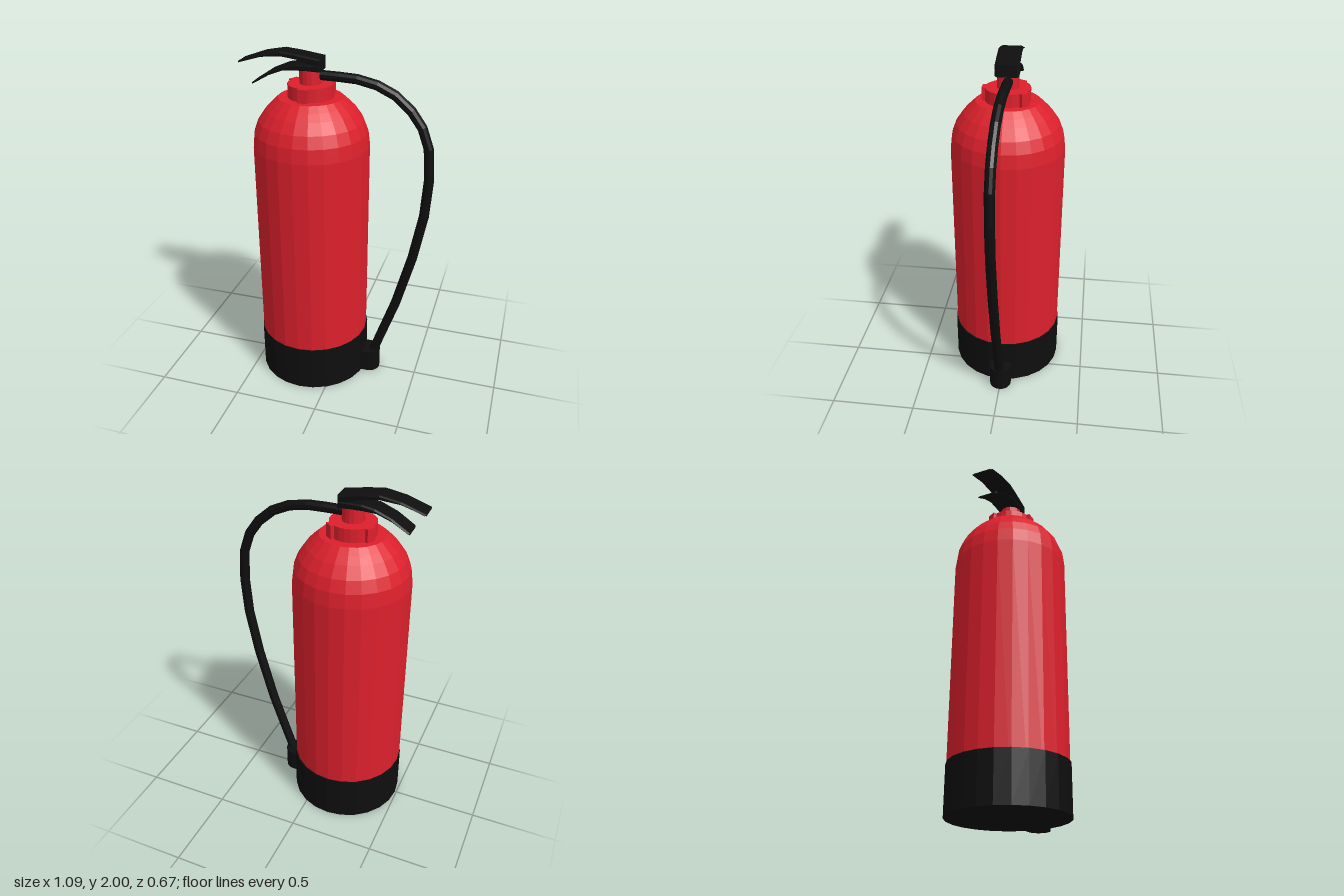
import * as THREE from 'three';

const RED = new THREE.MeshStandardMaterial({ color: 0xdc202c, flatShading: true });
const BLACK = new THREE.MeshStandardMaterial({ color: 0x0e0e0e, flatShading: true });
const AXIS_X = -0.16; // centre line of the tank

const v2 = (pairs) => pairs.map(([x, y]) => new THREE.Vector2(x, y));

export function createModel() {
  const model = new THREE.Group();
  model.name = 'fireExtinguisher';

  const add = (name, geometry, material, x = 0, y = 0, z = 0) => {
    const mesh = new THREE.Mesh(geometry, material);
    mesh.name = name;
    mesh.position.set(x, y, z);
    model.add(mesh);
    return mesh;
  };

  // Tank with a domed shoulder and a flat top
  const tank = v2([[0, 0.02], [0.327, 0.02], [0.327, 1.48], [0.317, 1.56], [0.292, 1.625],
    [0.25, 1.685], [0.215, 1.72], [0.18, 1.752], [0, 1.752]]);
  add('tank', new THREE.LatheGeometry(tank, 24), RED, AXIS_X);

  // Black foot around the bottom of the tank
  add('base', new THREE.CylinderGeometry(0.333, 0.333, 0.28, 24), BLACK, AXIS_X + 0.002, 0.14);

  // Nozzle holder with a rounded outer end
  const holder = new THREE.Shape();
  holder.moveTo(0.1, -0.065);
  holder.lineTo(0.205, -0.065);
  holder.absarc(0.205, 0, 0.065, -Math.PI / 2, Math.PI / 2, false);
  holder.lineTo(0.1, 0.065);
  holder.closePath();
  const holderGeometry = new THREE.ExtrudeGeometry(holder, { depth: 0.14, bevelEnabled: false, curveSegments: 10 });
  holderGeometry.rotateX(-Math.PI / 2);
  add('nozzleHolder', holderGeometry, BLACK);

  // Collar with three gripping lugs
  add('collar', new THREE.CylinderGeometry(0.127, 0.127, 0.08, 24), RED, AXIS_X, 1.786);
  for (const degrees of [-48, 90, 208]) {
    const a = THREE.MathUtils.degToRad(degrees);
    const lug = add('collarLug', new THREE.BoxGeometry(0.05, 0.08, 0.055), RED,
      AXIS_X + Math.cos(a) * 0.118, 1.786, Math.sin(a) * 0.118);
    lug.rotation.y = -a;
  }

  // Valve neck
  add('valveNeck', new THREE.CylinderGeometry(0.061, 0.061, 0.12, 16), RED, AXIS_X, 1.87);

  // Levers: curved side profiles, slightly turned about the neck
  const lever = (name, points) => {
    const geometry = new THREE.ExtrudeGeometry(new THREE.Shape(v2(points)), {
      depth: 0.108, bevelThickness: 0.012, bevelSize: 0.006, bevelOffset: -0.006, bevelSegments: 1,
    });
    geometry.translate(-AXIS_X, 0, -0.054);
    const mesh = add(name, geometry, BLACK, AXIS_X, 0, 0.001);
    mesh.rotation.y = 0.032;
  };
  lever('upperLever', [[-0.55, 1.924], [-0.42, 1.962], [-0.31, 1.972], [-0.2, 1.957], [-0.14, 1.935],
    [-0.09, 1.932], [-0.09, 1.968], [-0.22, 1.988], [-0.31, 1.998], [-0.42, 1.978], [-0.55, 1.932]]);
  lever('lowerLever', [[-0.475, 1.812], [-0.38, 1.866], [-0.3, 1.897], [-0.22, 1.902], [-0.09, 1.9],
    [-0.09, 1.937], [-0.22, 1.935], [-0.29, 1.922], [-0.38, 1.884], [-0.475, 1.822]]);

  // Hose from the valve down to the nozzle holder, one tube ring per path point
  const path = [[-0.16, 1.872], [0, 1.87], [0.1, 1.866], [0.21, 1.843], [0.31, 1.797], [0.4, 1.72],
    [0.462, 1.635], [0.503, 1.52], [0.515, 1.34], [0.5, 1.12], [0.447, 0.84], [0.36, 0.51], [0.215, 0.08]];
  const curve = new THREE.CatmullRomCurve3(path.map(([x, y]) =>
    new THREE.Vector3(x, y, -0.007 + 0.025 * (x + 0.16))));
  curve.getPointAt = (t, target) => curve.getPoint(t, target);
  curve.getTangentAt = (t, target) => curve.getTangent(t, target);
  add('hose', new THREE.TubeGeometry(curve, path.length - 1, 0.028, 10), BLACK);

  return model;
}
